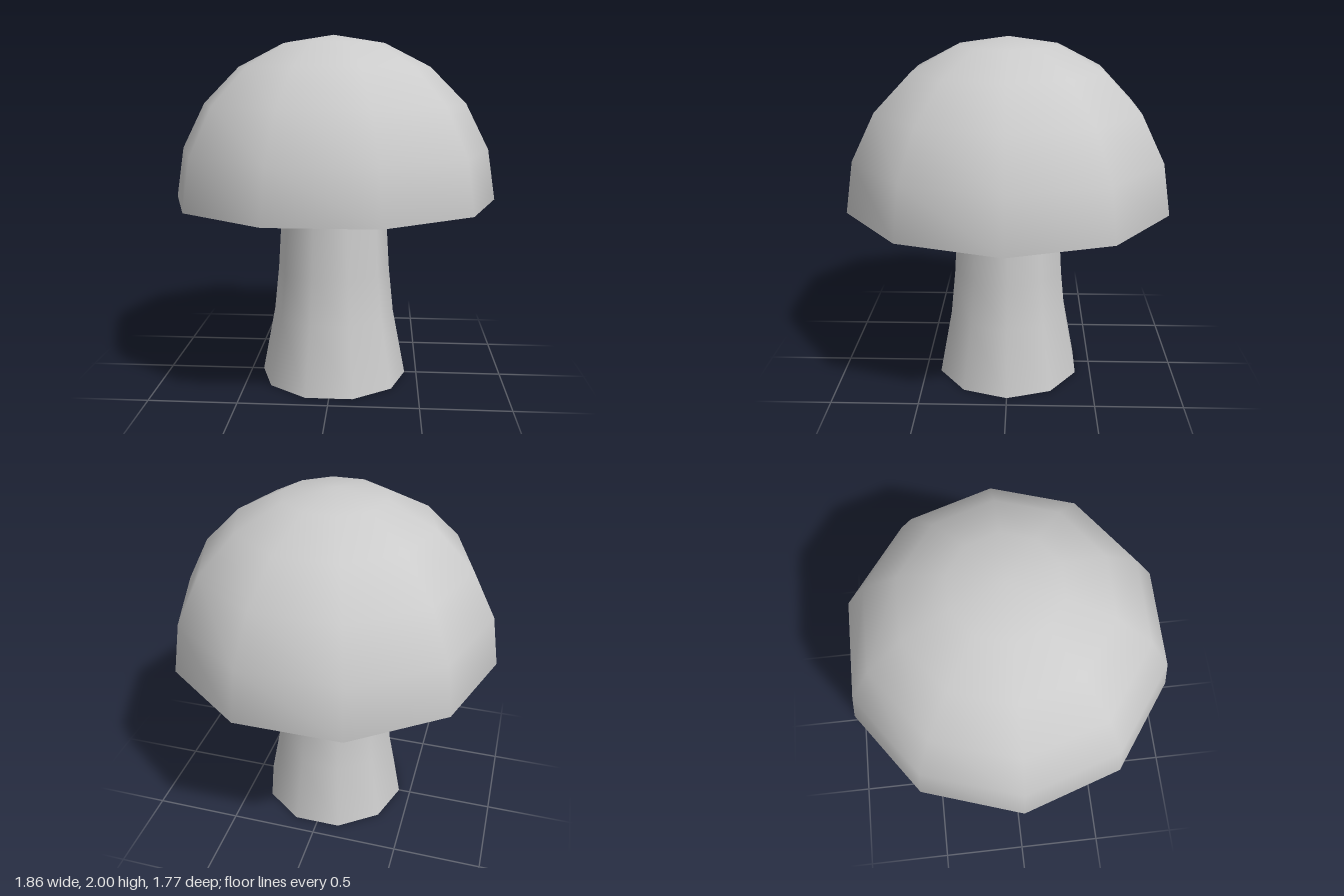
import * as THREE from 'three';

const SIDES = 10;
const CAP_RADIUS = 0.93;
const CAP_BASE = 1.07;

export function createModel() {
  const group = new THREE.Group();
  const material = new THREE.MeshStandardMaterial({ color: 0xcccccc });

  const add = (name, geometry, y = 0) => {
    const mesh = new THREE.Mesh(geometry, material);
    mesh.name = name;
    mesh.position.y = y;
    group.add(mesh);
  };
  const downDisc = (radius) => new THREE.CircleGeometry(radius, SIDES).rotateX(Math.PI / 2);

  // Domed cap with a flat underside
  add('capDome', new THREE.SphereGeometry(CAP_RADIUS, SIDES, 5, 0, Math.PI * 2, 0, Math.PI / 2), CAP_BASE);
  add('capUnderside', downDisc(CAP_RADIUS), CAP_BASE);

  // Stem flaring towards the ground
  const profile = [[0.43, 0], [0.355, 0.39], [0.328, 0.65], [0.302, CAP_BASE]]
    .map(([r, y]) => new THREE.Vector2(r, y));
  add('stem', new THREE.LatheGeometry(profile, SIDES, Math.PI / 2));
  add('stemBase', downDisc(0.43));

  return group;
}
